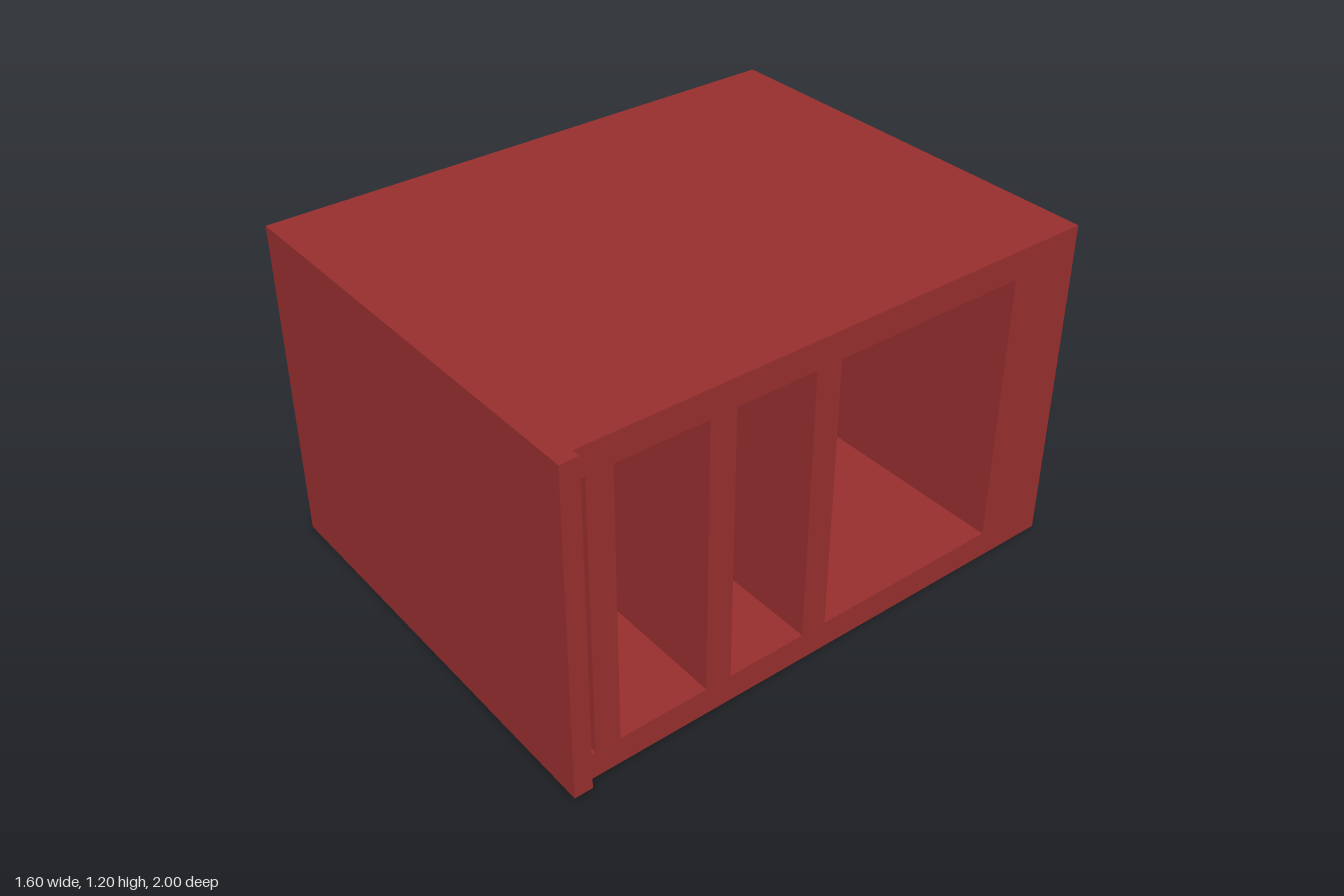
import * as THREE from 'three';

const BODY_X = 0.77, BACK_X = -0.7, SIDE_X = -0.8; // open side, pocket floor, closed side
const HEIGHT = 1.2, SEAM_Z = 0.935;

export function createModel() {
  const group = new THREE.Group();
  const material = new THREE.MeshStandardMaterial({ color: 0x962e2e });

  const add = (name, geometry) => {
    const mesh = new THREE.Mesh(geometry, material);
    mesh.name = name;
    group.add(mesh);
  };
  const block = (name, x0, x1, z0, z1) => add(name,
    new THREE.BoxGeometry(x1 - x0, HEIGHT, z1 - z0)
      .translate((x0 + x1) / 2, HEIGHT / 2, (z0 + z1) / 2));

  // Body section in (z, y); the front edge is notched to leave a slot behind the panel
  const section = new THREE.Shape([
    [-1, 0], [SEAM_Z, 0], [SEAM_Z, 0.1], [0.9, 0.1],
    [0.9, 1.1], [SEAM_Z, 1.1], [SEAM_Z, HEIGHT], [-1, HEIGHT],
  ].map(([z, y]) => new THREE.Vector2(z, y)));

  // Three compartments opening to the side
  for (const [z0, z1] of [[-0.73, 0], [0.095, 0.39], [0.485, 0.81]]) {
    section.holes.push(new THREE.Path([
      [z0, 0.1], [z0, 1.1], [z1, 1.1], [z1, 0.1],
    ].map(([z, y]) => new THREE.Vector2(z, y))));
  }

  add('compartmentBody', new THREE.ExtrudeGeometry(section, { depth: BODY_X - BACK_X, bevelEnabled: false })
    .rotateY(-Math.PI / 2)
    .translate(BODY_X, 0, 0));

  // Closed side wall at the end of the compartments
  block('closedSideWall', SIDE_X, BACK_X, -1, SEAM_Z);

  // Front panel, overhanging the open side slightly
  block('frontPanel', SIDE_X, 0.8, SEAM_Z, 1);

  return group;
}
